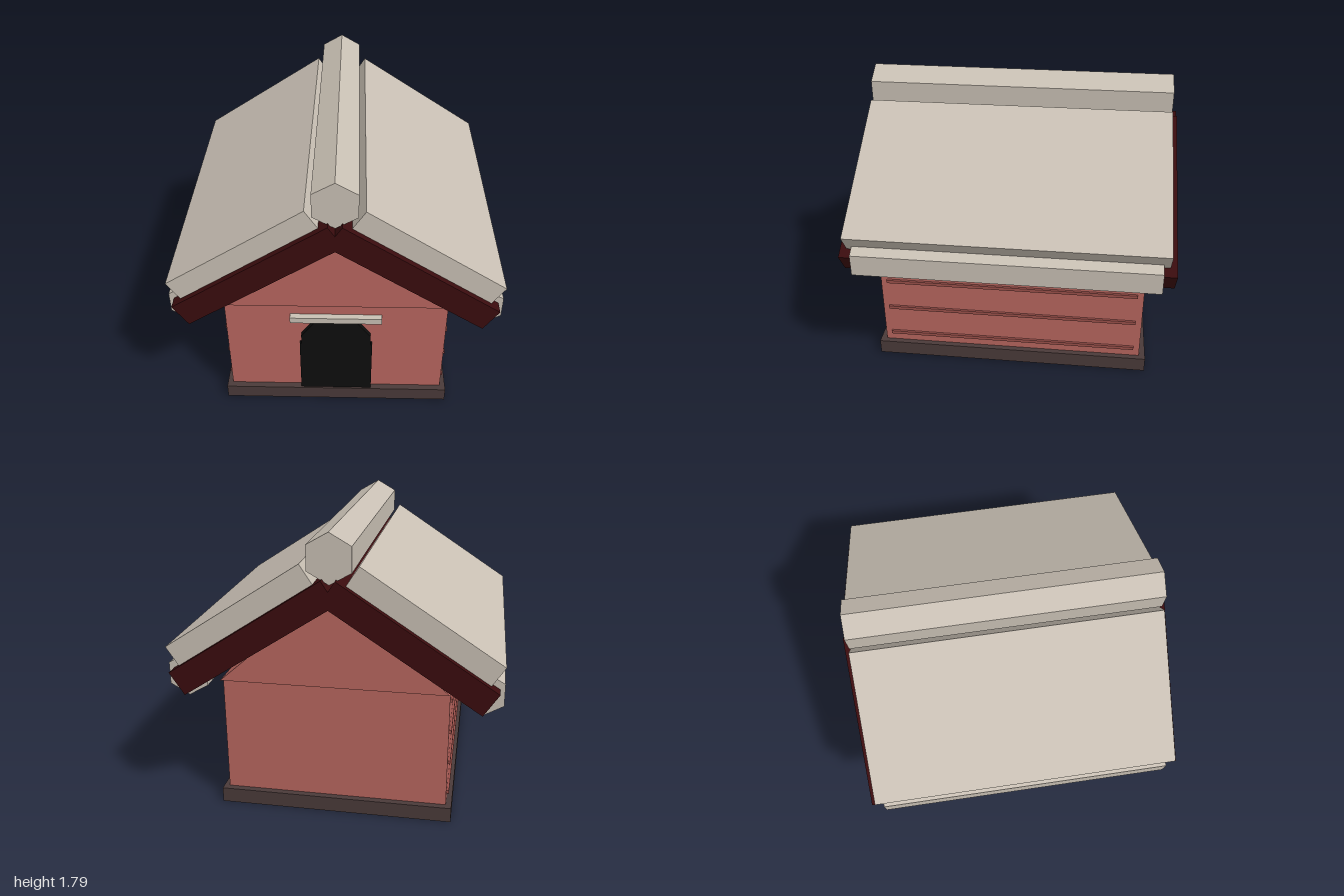
import * as THREE from 'three';

const material = (name, color) => {
  const m = new THREE.MeshStandardMaterial({ color });
  m.name = name;
  return m;
};

export function createModel() {
  const model = new THREE.Group();
  model.name = 'kennel';

  const wallRed = material('wall red', 0xb8665f);
  const battenRed = material('batten red', 0x9a504a);
  const darkRed = material('dark red', 0x3a0c0e);
  const cream = material('cream', 0xc9c0b4);
  const baseBrown = material('base brown', 0x4a3a39);
  const black = material('doorway black', 0x0d0d0d);

  const add = (name, geometry, mat, x = 0, y = 0, z = 0) => {
    const mesh = new THREE.Mesh(geometry, mat);
    mesh.name = name;
    mesh.position.set(x, y, z);
    model.add(mesh);
    return mesh;
  };
  const box = (name, mat, w, h, d, x, y, z) =>
    add(name, new THREE.BoxGeometry(w, h, d), mat, x, y, z);
  // Flat outline extruded along z, centred on z
  const prism = (name, mat, points, depth, x = 0, y = 0, z = 0) => {
    const shape = new THREE.Shape(points.map(([px, py]) => new THREE.Vector2(px, py)));
    const geometry = new THREE.ExtrudeGeometry(shape, { depth, bevelEnabled: false });
    geometry.translate(0, 0, -depth / 2);
    return add(name, geometry, mat, x, y, z);
  };
  // Points of a regular polygon with one corner at the top
  const polygon = (sides, r) => Array.from({ length: sides }, (_, i) => {
    const a = Math.PI / 2 + (i * 2 * Math.PI) / sides;
    return [r * Math.cos(a), r * Math.sin(a)];
  });

  // Base and walls
  box('base', baseBrown, 1.45, 0.095, 1.77, 0, 0.0475, 0);
  box('walls', wallRed, 1.38, 0.76, 1.69, 0, 0.47, 0);
  prism('gable', wallRed, [[-0.69, 0.85], [0.69, 0.85], [0, 1.455]], 1.8);

  // Doorway with a ten-sided arch, and the lintel over it
  const arch = polygon(10, 0.23).map(([x, y]) => [x, y + 0.5]);
  const upper = arch.filter(([, y]) => y > 0.5).sort((a, b) => b[0] - a[0]);
  prism('doorway', black, [
    [-0.23, 0.095], [0.23, 0.095], [0.23, 0.5], [0.219, 0.5],
    ...upper, [-0.219, 0.5], [-0.23, 0.5],
  ], 0.03, 0, 0, 0.86);
  box('lintel', cream, 0.57, 0.042, 0.045, 0, 0.713, 0.8625);

  // Roof parts and wall battens, mirrored on both sides
  const pitch = THREE.MathUtils.degToRad(33.25);
  for (const [side, s] of [['left', 1], ['right', -1]]) {
    const under = box(`${side}UnderRoof`, darkRed, 1.11, 0.164, 2, s * 0.46, 1.157, 0);
    const panel = box(`${side}RoofPanel`, cream, 0.986, 0.143, 1.92, s * 0.5435, 1.28, 0);
    under.rotation.z = panel.rotation.z = -s * pitch;
    prism(`${side}EaveBeam`, cream, polygon(6, 0.135), 1.84, s * 0.88, 0.887, 0);
    for (let i = 0; i < 4; i++) {
      box(`${side}Batten${i + 1}`, battenRed, 0.03, 0.022, 1.61, s * 0.69, 0.16 + i * 0.206, 0);
    }
  }
  prism('ridgeBeam', cream, polygon(6, 0.15), 1.92, 0, 1.645, 0);

  return model;
}
